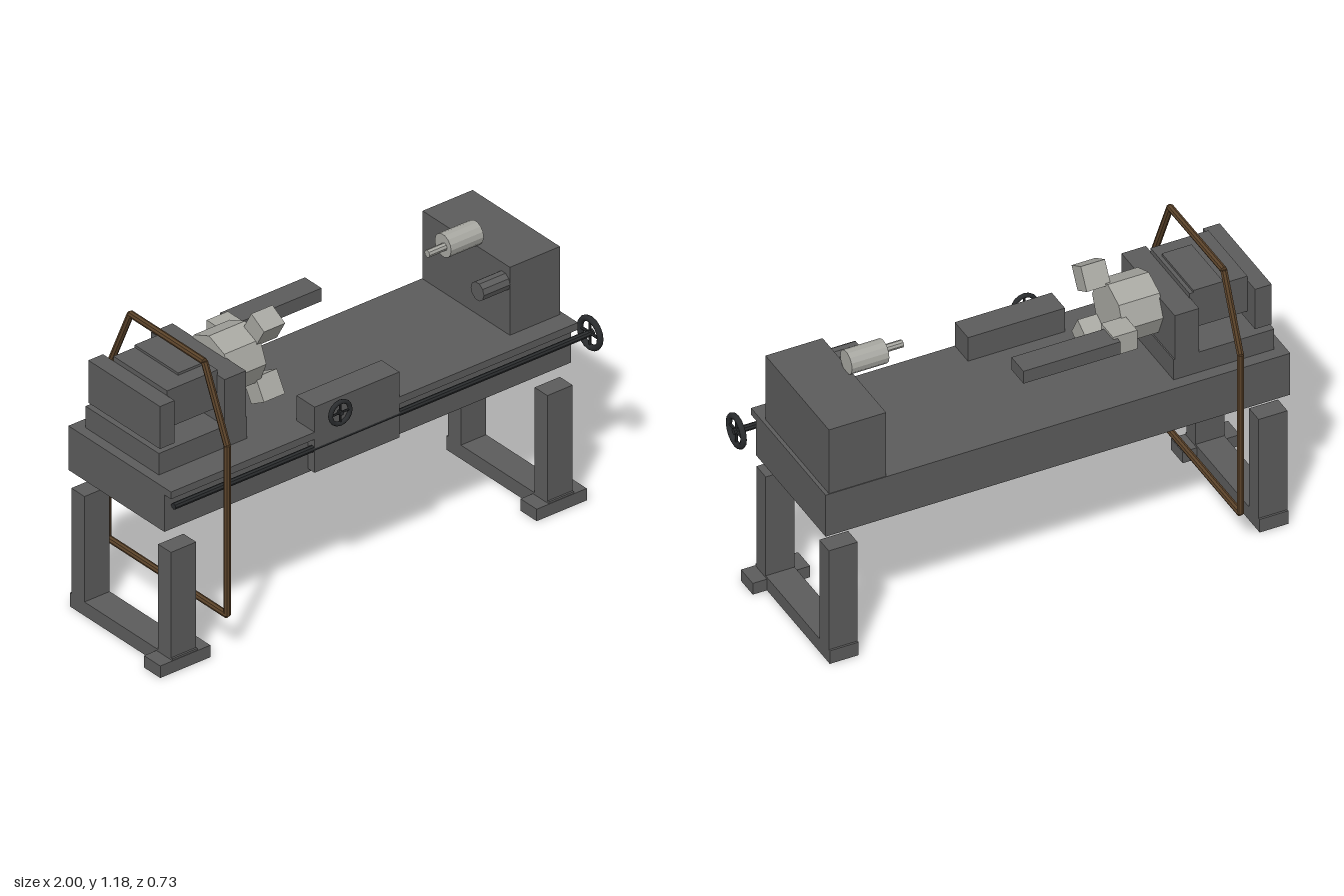
import * as THREE from 'three';

const mat = (name, color) => {
  const m = new THREE.MeshStandardMaterial({ color });
  m.name = name;
  return m;
};

export function createModel() {
  const castIron = mat('cast iron', 0x5c5c5c);
  const steel = mat('bright steel', 0xa8a8a2);
  const bronze = mat('brown tube', 0x5a4229);
  const black = mat('black metal', 0x2a2c2e);
  const root = new THREE.Group();
  root.name = 'lathe';

  const add = (name, geo, material, parent = root) => {
    const m = new THREE.Mesh(geo, material);
    m.name = name;
    parent.add(m);
    return m;
  };
  // box given by its extents on each axis
  const box = (name, [x0, x1], [y0, y1], [z0, z1], material = castIron) => {
    const m = add(name, new THREE.BoxGeometry(x1 - x0, y1 - y0, z1 - z0), material);
    m.position.set((x0 + x1) / 2, (y0 + y1) / 2, (z0 + z1) / 2);
    return m;
  };
  // faceted cylinder between two points
  const rod = (name, a, b, r, sides, material, parent = root) => {
    const p = new THREE.Vector3(...a), q = new THREE.Vector3(...b);
    const d = q.clone().sub(p);
    const geo = new THREE.CylinderGeometry(r, r, d.length(), sides).toNonIndexed();
    geo.computeVertexNormals();
    const m = add(name, geo, material, parent);
    m.position.copy(p).add(q).multiplyScalar(0.5);
    m.quaternion.setFromUnitVectors(new THREE.Vector3(0, 1, 0), d.normalize());
    return m;
  };
  // rim, four spokes and hub, facing +z
  const handwheel = (name, radius, tube) => {
    const g = new THREE.Group();
    g.name = name;
    add('rim', new THREE.TorusGeometry(radius, tube, 8, 16), black, g);
    rod('spoke', [-radius, 0, 0], [radius, 0, 0], tube * 0.5, 6, black, g);
    rod('spoke', [0, -radius, 0], [0, radius, 0], tube * 0.5, 6, black, g);
    rod('hub', [0, 0, -tube], [0, 0, tube], tube * 1.1, 8, black, g);
    root.add(g);
    return g;
  };

  // stands
  for (const x of [-0.885, 0.845]) {
    const col = [x - 0.058, x + 0.058];
    box('frontLeg', col, [0.05, 0.5], [0.222, 0.295]);
    box('backLeg', col, [0.05, 0.5], [-0.275, -0.2]);
    box('legCrossbar', col, [0, 0.058], [-0.283, 0.303]);
    box('foot', [x - 0.115, x + 0.115], [0, 0.05], [0.212, 0.305]);
  }

  // bed with a front lip
  box('bed', [-0.95, 0.92], [0.575, 0.735], [-0.283, 0.266]);
  box('bedTop', [-0.95, 0.92], [0.73, 0.76], [-0.283, 0.304]);

  // carriage, lead screw and handwheels
  box('carriage', [-0.29, 0.1], [0.59, 0.865], [0.2, 0.304]);
  box('rearSlide', [-0.29, 0.1], [0.95, 1.005], [-0.237, -0.142]);
  rod('leadScrew', [-0.93, 0.687, 0.293], [0.985, 0.687, 0.293], 0.013, 8, black);
  const endWheel = handwheel('endHandwheel', 0.058, 0.012);
  endWheel.position.set(0.985, 0.687, 0.293);
  endWheel.rotation.y = Math.PI / 2;
  handwheel('carriageHandwheel', 0.045, 0.009).position.set(-0.195, 0.82, 0.333);

  // headstock
  box('headstockBase', [-0.91, -0.505], [0.76, 0.85], [-0.235, 0.185]);
  box('headstockRearPlate', [-0.905, -0.838], [0.867, 1.045], [-0.225, 0.185]);
  box('headstockBody', [-0.838, -0.605], [0.908, 1.065], [-0.165, 0.142]);
  box('headstockFrontPlate', [-0.608, -0.51], [0.85, 1.045], [-0.235, 0.185]);
  box('headstockCover', [-0.74, -0.62], [1.06, 1.075], [-0.166, 0.083]);

  // octagonal chuck with three jaws
  const cy = 0.973, cz = -0.02;
  rod('chuck', [-0.515, cy, cz], [-0.35, cy, cz], 0.123, 8, steel);
  for (let i = 0; i < 3; i++) {
    const a = Math.PI / 6 + (i * Math.PI * 2) / 3;
    const jaw = add('chuckJaw', new THREE.BoxGeometry(0.097, 0.095, 0.084), steel);
    jaw.position.set(-0.321, cy + 0.147 * Math.cos(a), cz + 0.147 * Math.sin(a));
    jaw.rotation.x = a;
  }

  // tailstock
  box('tailstock', [0.675, 0.905], [0.76, 1.045], [-0.28, 0.22]);
  rod('tailstockQuill', [0.54, 1.086, 0.005], [0.69, 1.086, 0.005], 0.047, 14, steel);
  rod('tailstockCenter', [0.46, 1.086, 0.014], [0.545, 1.086, 0.014], 0.015, 8, steel);
  rod('tailstockKnob', [0.555, 0.972, 0.183], [0.68, 0.972, 0.183], 0.038, 10, castIron);

  // tube frame around the headstock
  const loop = [[0.17, 0.333], [0.88, 0.333], [1.17, 0.203], [1.17, -0.22], [0.88, -0.35], [0.17, -0.35]];
  loop.forEach((p, i) => {
    const q = loop[(i + 1) % loop.length];
    rod('guardTube', [-0.715, ...p], [-0.715, ...q], 0.0135, 8, bronze);
  });

  return root;
}
